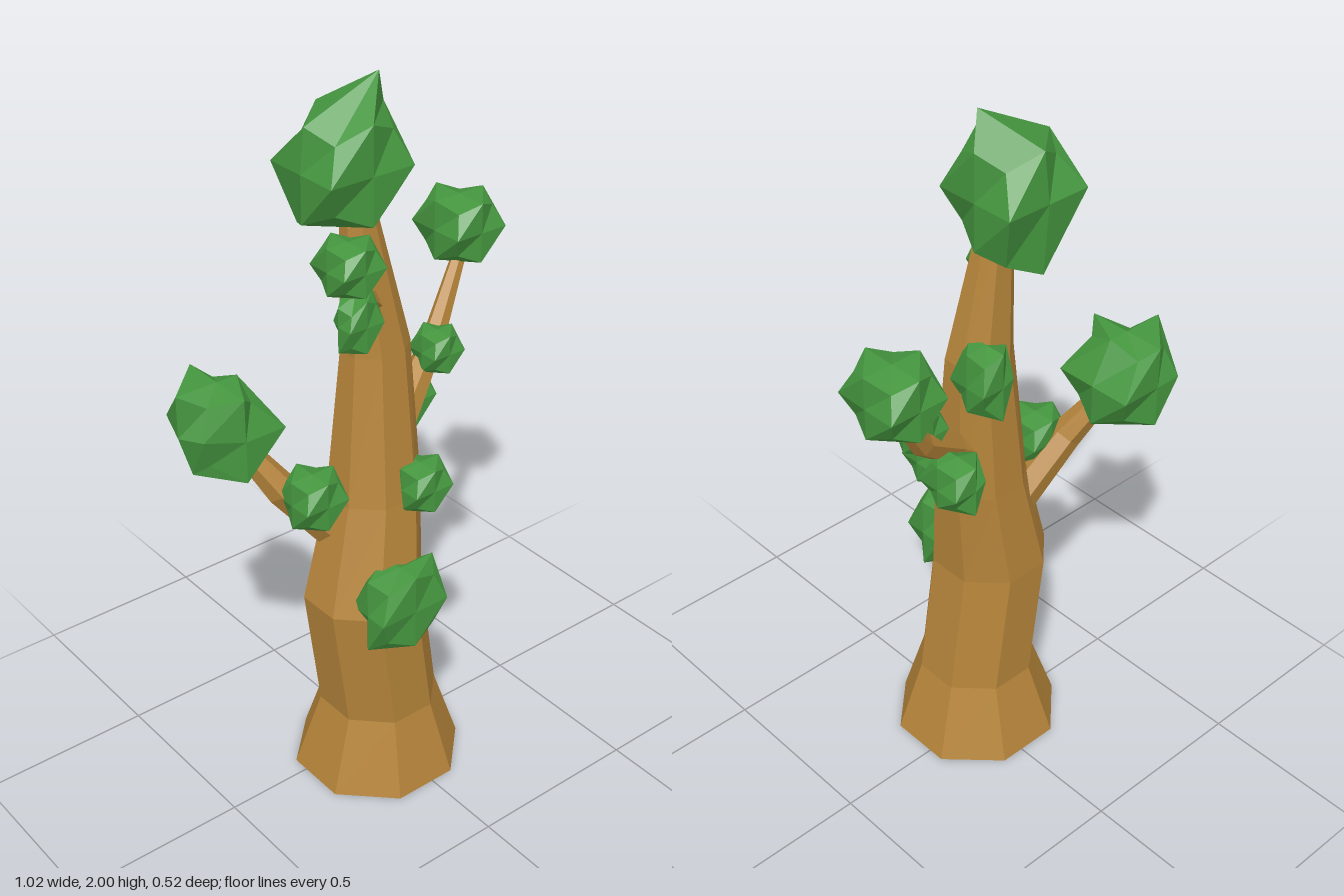
import * as THREE from 'three';

const bark = new THREE.MeshStandardMaterial({ color: 0xb5843a, flatShading: true });
const foliage = new THREE.MeshStandardMaterial({ color: 0x45963f, flatShading: true });

// Skin a stack of rings: each ring is [x, y, z, radiusX, radiusZ]
function loft(name, rings, sides, turn, tilt = new THREE.Quaternion()) {
  const pos = [], index = [], n = rings.length;
  for (const [x, y, z, rx, rz = rx] of rings) {
    for (let i = 0; i < sides; i++) {
      const a = ((i + turn) / sides) * Math.PI * 2;
      const p = new THREE.Vector3(Math.sin(a) * rx, 0, Math.cos(a) * rz).applyQuaternion(tilt);
      pos.push(x + p.x, y + p.y, z + p.z);
    }
  }
  for (let k = 0; k < n - 1; k++) {
    for (let i = 0; i < sides; i++) {
      const j = (i + 1) % sides, a = k * sides + i, b = k * sides + j;
      index.push(a, b, b + sides, a, b + sides, a + sides);
    }
  }
  // end caps
  const top = (n - 1) * sides;
  for (let i = 1; i < sides - 1; i++) index.push(0, i + 1, i, top, top + i, top + i + 1);
  const g = new THREE.BufferGeometry();
  g.setAttribute('position', new THREE.Float32BufferAttribute(pos, 3));
  g.setIndex(index);
  const flat = g.toNonIndexed();
  flat.computeVertexNormals();
  const mesh = new THREE.Mesh(flat, bark);
  mesh.name = name;
  return mesh;
}

// Branch: rings [x, y, z, r] set square to the line from first to last
function branch(name, rings) {
  const a = new THREE.Vector3(...rings[0].slice(0, 3));
  const dir = new THREE.Vector3(...rings[rings.length - 1].slice(0, 3)).sub(a).normalize();
  const tilt = new THREE.Quaternion().setFromUnitVectors(new THREE.Vector3(0, 1, 0), dir);
  return loft(name, rings, 6, 0.5, tilt);
}

// Leaf clump: cube split 2x2 per face, corners pulled in, fitted to a box
function clump(name, [x0, x1, y0, y1, z0, z1], warp) {
  const g = new THREE.BoxGeometry(2, 2, 2, 2, 2, 2).toNonIndexed();
  const p = g.attributes.position, v = new THREE.Vector3();
  for (let i = 0; i < p.count; i++) {
    v.fromBufferAttribute(p, i).round();
    const key = v.clone();
    const edges = Math.abs(v.x) + Math.abs(v.y) + Math.abs(v.z);
    if (edges === 3) v.multiplyScalar(0.7);
    if (warp) warp(v, key);
    p.setXYZ(i,
      (x0 + x1) / 2 + (v.x * (x1 - x0)) / 2,
      (y0 + y1) / 2 + (v.y * (y1 - y0)) / 2,
      (z0 + z1) / 2 + (v.z * (z1 - z0)) / 2);
  }
  g.computeVertexNormals();
  const mesh = new THREE.Mesh(g, foliage);
  mesh.name = name;
  return mesh;
}

export function createModel() {
  const tree = new THREE.Group();
  tree.name = 'tree';

  // Eight-sided trunk with flared foot and tapering top
  tree.add(loft('trunk', [
    [-0.025, 0, 0.043, 0.243, 0.238],
    [-0.025, 0.22, 0.047, 0.168, 0.168],
    [-0.075, 0.59, 0.045, 0.166, 0.166],
    [-0.025, 0.89, 0.028, 0.132, 0.124],
    [-0.005, 1.3, 0.01, 0.098, 0.08],
    [-0.045, 1.66, -0.005, 0.052, 0.04],
    [-0.045, 1.78, -0.03, 0.03, 0.03],
  ], 8, 0.5));

  // Branches
  tree.add(branch('rightLowerBranch', [
    [-0.1, 0.74, 0.0, 0.055], [-0.27, 0.94, -0.05, 0.045],
    [-0.33, 1.04, -0.1, 0.034], [-0.38, 1.12, -0.13, 0.025]]));
  tree.add(branch('leftBranch', [
    [0.04, 1.0, 0.01, 0.055], [0.12, 1.07, -0.015, 0.045],
    [0.27, 1.19, -0.08, 0.032], [0.42, 1.41, -0.14, 0.018]]));
  tree.add(branch('rightUpperBranch', [
    [-0.03, 1.43, 0.03, 0.032], [-0.13, 1.52, 0.1, 0.022], [-0.22, 1.65, 0.19, 0.008]]));

  // Crown: peaked top, sagging at the lower back
  tree.add(clump('crown', [-0.175, 0.08, 1.65, 1.91, -0.185, 0.057], (v, k) => {
    if (k.x === 0 && k.z === 0 && k.y > 0) v.set(0.7, 1.7, 0.25);
    if (k.y > 0 && k.x < 0) v.multiplyScalar(0.9);
    if (k.y < 0 && k.z < 0) { v.y -= 0.5; v.z += 0.12; }
    if (k.y > 0 && k.z < 0) v.z += 0.15;
  }));

  // Big clump on the right branch, with a bevelled front corner
  tree.add(clump('rightClump', [-0.515, -0.27, 1.02, 1.26, -0.26, -0.02], (v, k) => {
    if (k.x < 0 && k.z > 0) { v.x *= 0.7; v.z *= 0.5; }
    if (k.x > 0 && k.y > 0) v.x *= 0.5;
    if (k.x < 0 && k.z < 0) v.x *= 0.65;
    if (k.y < 0 && k.x < 0 && k.z === 0) v.x = -0.7;
  }));

  // Remaining clumps, as bounds x0 x1 y0 y1 z0 z1
  const clumps = {
    leftClump: [0.34, 0.51, 1.37, 1.54, -0.26, -0.07],
    leftTwigClump: [0.18, 0.285, 1.14, 1.25, -0.08, 0.03],
    leftLowerClump: [0.11, 0.245, 0.97, 1.12, -0.175, -0.035],
    rightTwigClump: [-0.29, -0.155, 0.86, 1.0, -0.045, 0.09],
    trunkFrontClump: [-0.175, 0.045, 0.51, 0.73, 0.125, 0.255],
    trunkUpperFrontClump: [-0.02, 0.105, 0.865, 0.99, 0.075, 0.2],
    rightUpperClump: [-0.3, -0.175, 1.6, 1.72, 0.135, 0.265],
    rightUpperTwigClump: [-0.21, -0.105, 1.39, 1.53, 0.075, 0.17],
    trunkBackClump: [-0.03, 0.105, 1.17, 1.37, -0.125, 0.0],
  };
  const softened = (v, k) => {
    if (k.x * k.y < 0) v.y *= 0.72;
    if (k.x < 0 && k.z < 0) v.multiplyScalar(0.75);
  };
  const uneven = ['rightUpperTwigClump', 'trunkBackClump', 'leftLowerClump'];
  for (const [name, box] of Object.entries(clumps)) {
    tree.add(clump(name, box, uneven.includes(name) ? softened : undefined));
  }
  return tree;
}
